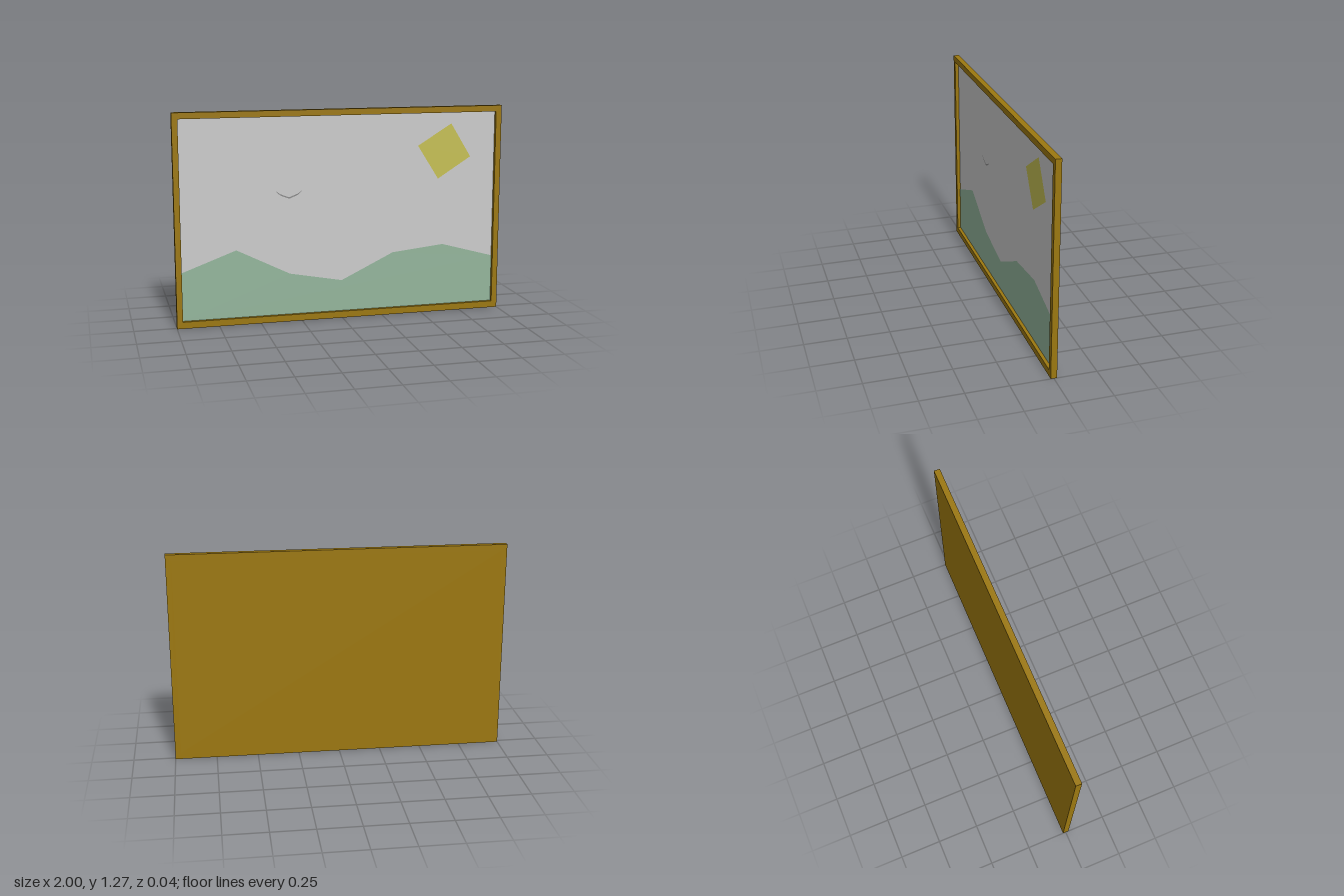
import * as THREE from 'three';

const W = 2, H = 1.27, DEPTH = 0.036;
const IN_X = 0.965, IN_BOTTOM = 0.04, IN_TOP = 1.233;
const PICTURE_Z = -0.004, LAYER = 0.0015;

const toShape = (points) => new THREE.Shape(points.map(([x, y]) => new THREE.Vector2(x, y)));
const rectangle = (x, y0, y1) => [[-x, y0], [x, y0], [x, y1], [-x, y1]];

export function createModel() {
  const model = new THREE.Group();
  model.name = 'framedPicture';

  const add = (name, geometry, color, z) => {
    const mesh = new THREE.Mesh(geometry, new THREE.MeshStandardMaterial({ color }));
    mesh.name = name;
    mesh.position.z = z;
    model.add(mesh);
  };
  const addLayer = (name, points, color, level) =>
    add(name, new THREE.ShapeGeometry(toShape(points)), color, PICTURE_Z + level * LAYER);

  // Wooden frame: a raised border in front of a closed back
  const wood = 0x9c7810;
  const border = toShape(rectangle(W / 2, 0, H));
  border.holes.push(toShape(rectangle(IN_X, IN_BOTTOM, IN_TOP)));
  add('frame', new THREE.ExtrudeGeometry(border, { depth: DEPTH, bevelEnabled: false }), wood, -DEPTH / 2);
  const back = new THREE.ShapeGeometry(toShape(rectangle(IN_X, IN_BOTTOM, IN_TOP)));
  back.rotateY(Math.PI);
  add('backPanel', back, wood, -DEPTH / 2);

  // Sky fills the recessed opening
  addLayer('sky', rectangle(IN_X, IN_BOTTOM, IN_TOP), 0xcccccc, 0);

  // Hills with a jagged skyline
  addLayer('hills', [
    [-IN_X, IN_BOTTOM], [IN_X, IN_BOTTOM], [IN_X, 0.33], [0.64, 0.42], [0.32, 0.385],
    [0, 0.23], [-0.32, 0.29], [-0.64, 0.45], [-IN_X, 0.33],
  ], 0x94b69c, 1);

  // Sun: a tilted square
  addLayer('sun', [[0.475, 1.035], [0.605, 0.83], [0.81, 0.96], [0.685, 1.165]], 0xc6c055, 1);

  // Bird: two thin mirrored wings
  const wing = [[0, 0.745], [0.055, 0.767], [0.08, 0.793], [0.05, 0.773], [0, 0.754]];
  const mirrored = wing.slice(1, 4).reverse().map(([x, y]) => [-x, y]);
  const bird = [wing[0], ...wing.slice(1), ...mirrored].map(([x, y]) => [x - 0.32, y]);
  addLayer('bird', bird, 0x8c8c8c, 1);

  return model;
}
